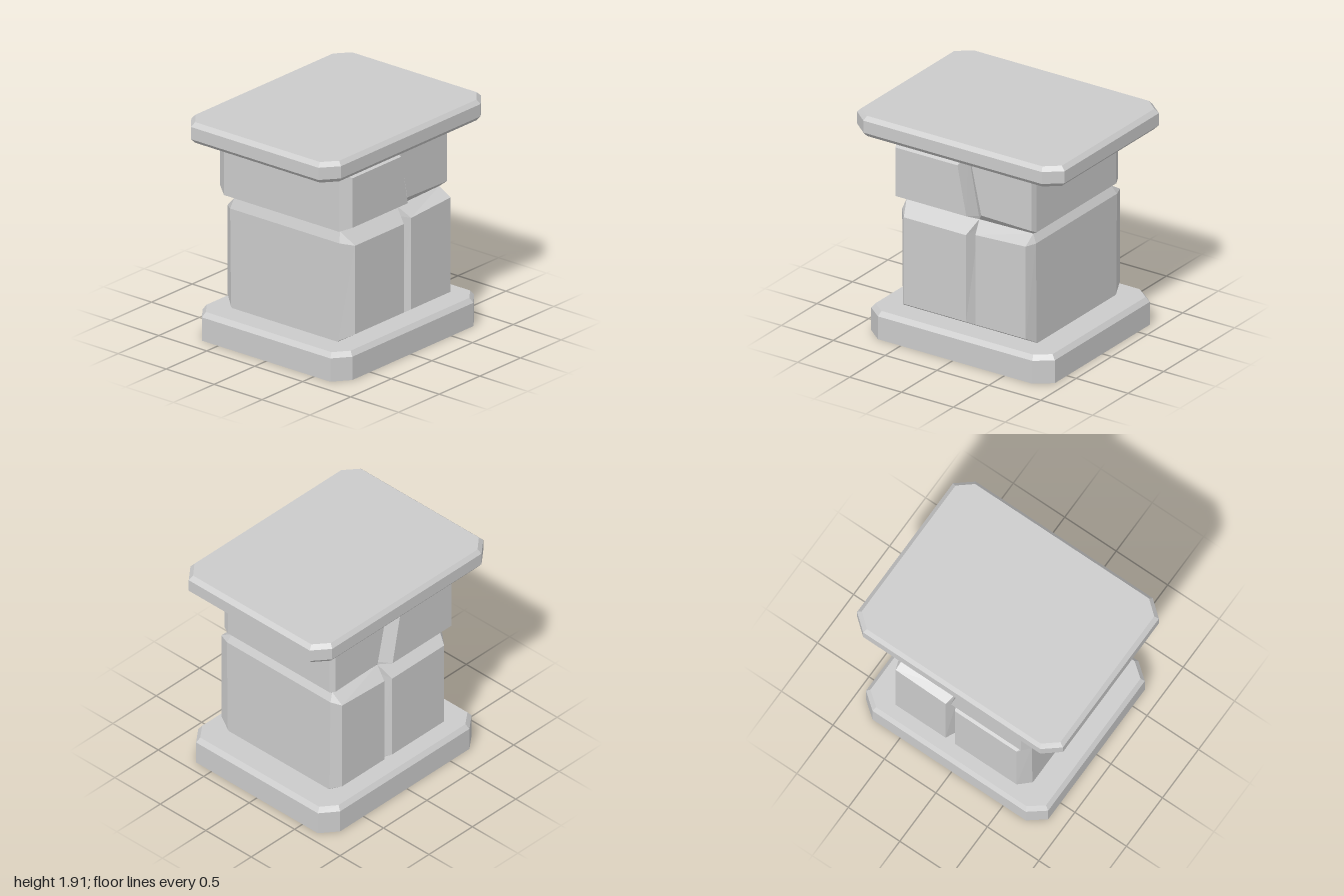
import * as THREE from 'three';

const stone = new THREE.MeshStandardMaterial({ color: 0xcccccc, flatShading: true, side: THREE.DoubleSide });

function addMesh(group, name, geometry) {
  const mesh = new THREE.Mesh(geometry, stone);
  mesh.name = name;
  group.add(mesh);
}

// Skin between successive rings of [x, y, z] points
function loft(rings, closed) {
  const pos = [];
  const n = rings[0].length;
  for (let i = 0; i < rings.length - 1; i++) {
    for (let j = 0; j < (closed ? n : n - 1); j++) {
      const k = (j + 1) % n;
      const a = rings[i][j], b = rings[i][k], c = rings[i + 1][k], d = rings[i + 1][j];
      pos.push(...a, ...b, ...c, ...a, ...c, ...d);
    }
  }
  const g = new THREE.BufferGeometry();
  g.setAttribute('position', new THREE.Float32BufferAttribute(pos, 3));
  g.computeVertexNormals();
  return g;
}

// Rectangle with cut corners: half width, half depth, and where the cuts begin
function octagon(cx, y, hw, hd, cutX, cutZ) {
  return [[-cutX, hd], [cutX, hd], [hw, cutZ], [hw, -cutZ], [cutX, -hd], [-cutX, -hd], [-hw, -cutZ], [-hw, cutZ]]
    .map(([x, z]) => [x + cx, y, z]);
}

// Flat horizontal face filling a ring, optionally with a rectangular hole
function flatFace(ring, hole, down) {
  const shape = new THREE.Shape(ring.map(p => new THREE.Vector2(p[0], -p[2])));
  if (hole) {
    const [x0, x1, z] = hole;
    shape.holes.push(new THREE.Path([[x0, -z], [x0, z], [x1, z], [x1, -z]].map(p => new THREE.Vector2(...p))));
  }
  const g = new THREE.ShapeGeometry(shape);
  if (down) {
    const idx = g.index.array;
    for (let i = 0; i < idx.length; i += 3) [idx[i], idx[i + 1]] = [idx[i + 1], idx[i]];
  }
  g.rotateX(-Math.PI / 2);
  g.translate(0, ring[0][1], 0);
  g.computeVertexNormals();
  return g;
}

// Chiselled block: each ring runs seam, inner face edge, outer face edge, outer side
// on the front, then mirrored to the back; the seam side stays open.
function block(frontRings, isLeft) {
  const rings = frontRings.map(r => {
    const front = r.length === 2 ? [r[0], r[0], r[1], r[1]] : r;
    const back = front.map(([x, y, z]) => [x, y, -z]).reverse();
    const ring = [...front, ...back];
    return isLeft ? ring : ring.reverse();
  });
  return loft(rings, false);
}

export function createModel() {
  const model = new THREE.Group();
  model.name = 'stonePedestal';

  // Base plinth, hollow below
  const base = new THREE.Group();
  base.name = 'basePlinth';
  const baseRings = [
    octagon(0.025, 0, 0.885, 0.78, 0.745, 0.67),
    octagon(0.025, 0.2, 0.885, 0.78, 0.745, 0.67),
    octagon(0.025, 0.24, 0.853, 0.75, 0.73, 0.655),
  ];
  addMesh(base, 'baseSides', loft(baseRings, true));
  addMesh(base, 'baseTop', flatFace(baseRings[2], [-0.63, 0.66, 0.55]));
  model.add(base);

  // Shaft: two tiers of paired blocks sharing a groove
  const shaft = new THREE.Group();
  shaft.name = 'shaft';
  const seamLow = [0.11, 0.25, 0.555], seamHigh = [0.095, 1.1, 0.555];
  const waist = [0.1, 1.18, 0.55];
  const upperSeamLow = [0.1, 1.21, 0.555], upperSeamHigh = [0, 1.73, 0.555];

  addMesh(shaft, 'lowerRightBlock', block([
    [[0.11, 0.24, 0.55], [-0.63, 0.24, 0.55]],
    [seamLow, [0.05, 0.31, 0.665], [-0.55, 0.31, 0.665], [-0.63, 0.25, 0.56]],
    [seamHigh, [0.05, 1.07, 0.665], [-0.55, 1.07, 0.665], [-0.63, 1.09, 0.57]],
    [waist, [-0.6, 1.18, 0.55]],
  ], false));
  addMesh(shaft, 'lowerLeftBlock', block([
    [[0.11, 0.24, 0.55], [0.66, 0.24, 0.55]],
    [seamLow, [0.14, 0.31, 0.665], [0.625, 0.31, 0.665], [0.66, 0.25, 0.56]],
    [seamHigh, [0.14, 1.095, 0.665], [0.625, 1.12, 0.665], [0.66, 1.12, 0.57]],
    [waist, [0.62, 1.19, 0.55]],
  ], true));
  addMesh(shaft, 'upperRightBlock', block([
    [waist, [-0.6, 1.18, 0.55]],
    [upperSeamLow, [0.07, 1.25, 0.69], [-0.61, 1.25, 0.69], [-0.67, 1.21, 0.6]],
    [upperSeamHigh, [-0.015, 1.675, 0.69], [-0.61, 1.675, 0.69], [-0.67, 1.72, 0.6]],
    [[0, 1.74, 0.55], [-0.67, 1.74, 0.55]],
  ], false));
  addMesh(shaft, 'upperLeftBlock', block([
    [waist, [0.62, 1.19, 0.55]],
    [upperSeamLow, [0.16, 1.25, 0.61], [0.645, 1.24, 0.61], [0.66, 1.215, 0.56]],
    [upperSeamHigh, [0.055, 1.717, 0.61], [0.645, 1.717, 0.61], [0.66, 1.73, 0.56]],
    [[0, 1.74, 0.55], [0.66, 1.74, 0.55]],
  ], true));
  model.add(shaft);

  // Cap slab, bevelled above and below
  const cap = new THREE.Group();
  cap.name = 'capSlab';
  const capRings = [
    octagon(0, 1.738, 0.965, 0.75, 0.845, 0.65),
    octagon(0, 1.775, 1, 0.78, 0.86, 0.665),
    octagon(0, 1.88, 1, 0.78, 0.86, 0.665),
    octagon(0, 1.915, 0.965, 0.75, 0.845, 0.65),
  ];
  addMesh(cap, 'capSides', loft(capRings, true));
  addMesh(cap, 'capTop', flatFace(capRings[3]));
  addMesh(cap, 'capUnderside', flatFace(capRings[0], [-0.67, 0.66, 0.55], true));
  model.add(cap);

  return model;
}
